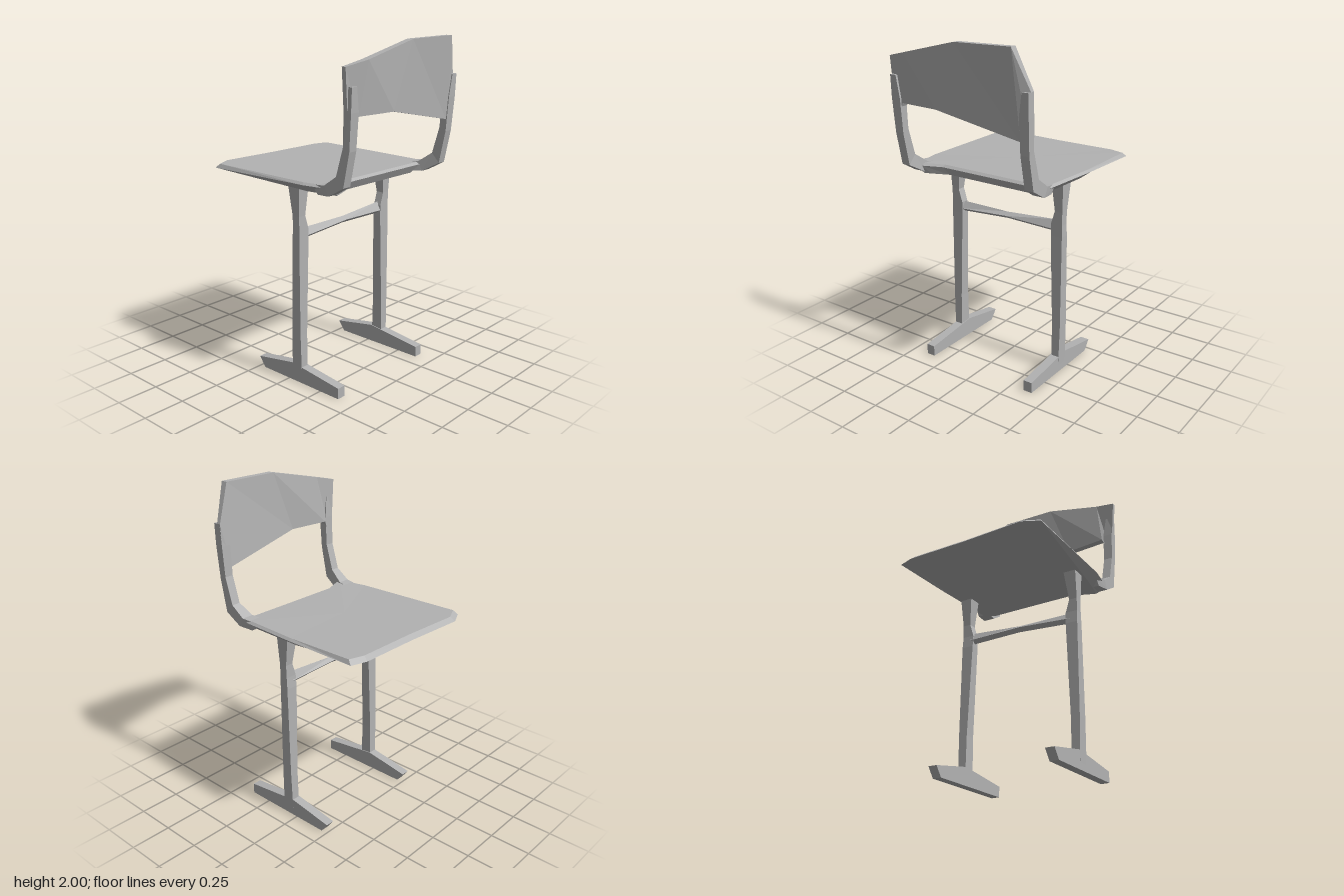
import * as THREE from 'three';

const grey = new THREE.MeshStandardMaterial({ color: 0xb2b2b2, flatShading: true });
grey.name = 'plain grey';

// Closed solid through rings of [x, y, z] points, both ends capped by fans
function loft(name, rings) {
  const n = rings[0].length;
  const tris = [];
  for (let i = 0; i < rings.length - 1; i++) {
    for (let j = 0; j < n; j++) {
      const k = (j + 1) % n;
      const [a, b, c, d] = [rings[i][j], rings[i][k], rings[i + 1][k], rings[i + 1][j]];
      tris.push([a, b, c], [a, c, d]);
    }
  }
  const cap = (ring, flip) => {
    const mid = [0, 1, 2].map((q) => ring.reduce((s, p) => s + p[q], 0) / n);
    ring.forEach((p, j) => {
      const next = ring[(j + 1) % n];
      tris.push(flip ? [mid, next, p] : [mid, p, next]);
    });
  };
  cap(rings[0], true);
  cap(rings[rings.length - 1], false);
  // Turn the faces outward when the enclosed volume comes out negative
  let volume = 0;
  const [u, v, w] = [0, 1, 2].map(() => new THREE.Vector3());
  for (const t of tris) {
    volume += u.fromArray(t[0]).dot(v.fromArray(t[1]).cross(w.fromArray(t[2])));
  }
  if (volume < 0) tris.forEach((t) => t.reverse());
  const geo = new THREE.BufferGeometry();
  geo.setAttribute('position', new THREE.Float32BufferAttribute(tris.flat(2), 3));
  geo.computeVertexNormals();
  const mesh = new THREE.Mesh(geo, grey);
  mesh.name = name;
  return mesh;
}

// Wedge-shaped seat: inset underside, widest edge, then top
function seat() {
  const outline = [
    [-0.48, -0.51], [-0.38, -0.56], [0, -0.54], [0.38, -0.535], [0.475, -0.505],
    [0.475, -0.06], [0.455, 0.31], [0.38, 0.35], [0.1, 0.345], [-0.27, 0.34],
    [-0.39, 0.385], [-0.435, 0.4], [-0.47, 0.2],
  ];
  const underY = (z) => (z > 0 ? 1.185 : 1.185 - z * 0.06);
  const under = outline.map(([x, z]) => [x * 0.88, underY(z), z * 0.92]);
  const edge = outline.map(([x, z]) => [x, z < -0.4 ? 1.226 : 1.232, z]);
  const top = outline.map(([x, z]) => [x * 0.97, z < -0.4 ? 1.25 : 1.245, z * 0.95]);
  return loft('seat', [under, edge, top]);
}

// Bent upright: rows of inner x, outer x, front y and z, rear y and z
function upright(name, side) {
  const rows = [
    [0.36, 0.44, 1.24, 0.24, 1.188, 0.28],
    [0.38, 0.455, 1.25, 0.34, 1.195, 0.37],
    [0.4, 0.455, 1.31, 0.425, 1.255, 0.475],
    [0.4, 0.455, 1.47, 0.472, 1.45, 0.515],
    [0.4, 0.46, 1.65, 0.48, 1.65, 0.53],
    [0.42, 0.46, 1.78, 0.49, 1.78, 0.535],
  ];
  return loft(name, rows.map(([xi, xo, fy, fz, by, bz]) => [
    [side * xi, fy, fz], [side * xo, fy, fz], [side * xo, by, bz], [side * xi, by, bz],
  ]));
}

// Irregular bowed panel: rows of lower x, y, z then upper x, y, z and thickness
function backrest() {
  const rows = [
    [-0.45, 1.5, 0.48, -0.48, 1.88, 0.485, 0.025],
    [-0.39, 1.625, 0.475, -0.35, 1.91, 0.505, 0.045],
    [-0.13, 1.625, 0.505, 0.01, 1.995, 0.515, 0.04],
    [0.4, 1.52, 0.475, 0.37, 2, 0.515, 0.04],
    [0.455, 1.54, 0.48, 0.46, 1.78, 0.485, 0.025],
  ];
  return loft('backrest', rows.map(([lx, ly, lz, ux, uy, uz, t]) => [
    [lx, ly, lz], [ux, uy, uz], [ux, uy, uz + t], [lx, ly, lz + t],
  ]));
}

// Leg swelling at the crossbar and the seat: y, inner x, outer x, z range
function leg(name, side) {
  const rows = [
    [0.04, 0.345, 0.395, 0.03, 0.105],
    [0.3, 0.345, 0.4, 0.035, 0.102],
    [0.87, 0.325, 0.4, 0.045, 0.1],
    [0.94, 0.325, 0.398, 0.05, 0.1],
    [1.02, 0.35, 0.4, 0.05, 0.1],
    [1.2, 0.33, 0.408, 0.025, 0.11],
  ];
  return loft(name, rows.map(([y, xi, xo, z0, z1]) => [
    [side * xi, y, z0], [side * xo, y, z0], [side * xo, y, z1], [side * xi, y, z1],
  ]));
}

// Long low foot with a peak under the leg
function foot(name, side) {
  const profile = [
    [0, 0.39], [0, -0.21], [0.06, -0.255], [0.11, 0.03], [0.1, 0.11], [0.065, 0.39],
  ];
  return loft(name, [0.34, 0.395].map((x) => profile.map(([y, z]) => [side * x, y, z])));
}

// Slightly sagging diamond-section bar between the legs: x, low y, high y
function crossbar() {
  const rows = [[-0.35, 0.875, 0.94], [0, 0.897, 0.937], [0.35, 0.888, 0.962]];
  return loft('crossbar', rows.map(([x, lo, hi]) => [
    [x, lo, 0.07], [x, lo + 0.022, 0.1], [x, hi, 0.07], [x, lo + 0.022, 0.045],
  ]));
}

export function createModel() {
  const chair = new THREE.Group();
  chair.name = 'chair';
  chair.add(seat(), backrest(), crossbar());
  for (const [label, side] of [['left', 1], ['right', -1]]) {
    chair.add(
      upright(label + 'Upright', side),
      leg(label + 'Leg', side),
      foot(label + 'Foot', side),
    );
  }
  return chair;
}
